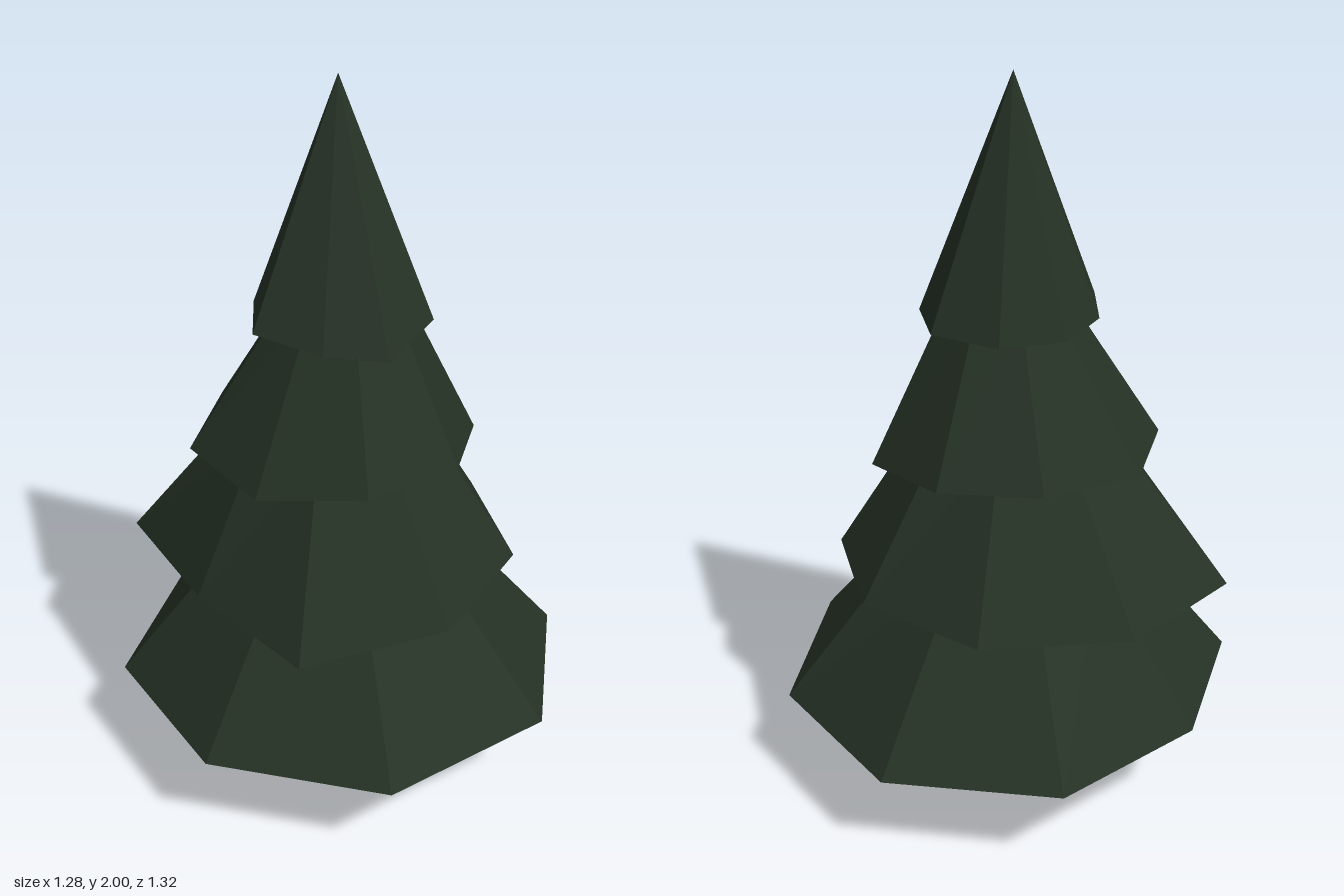
import * as THREE from 'three';

// Each tier: uneven eight-sided rim [x, y, z], running back -> +x -> front -> -x,
// then the height, radius and centre of its narrow top ring.
const TIERS = [
  {
    name: 'bottomBranches', topY: 0.7, topR: 0.285, cx: -0.01, cz: 0.005,
    rim: [[-0.01, 0.26, -0.66], [0.44, 0.25, -0.485], [0.64, 0.25, -0.03], [0.47, 0.26, 0.445],
      [-0.01, 0.27, 0.655], [-0.47, 0.268, 0.43], [-0.64, 0.265, -0.03], [-0.42, 0.265, -0.445]],
  },
  {
    name: 'lowerMiddleBranches', topY: 1.07, topR: 0.235, cx: -0.02, cz: -0.02,
    rim: [[-0.22, 0.635, -0.545], [0.185, 0.64, -0.51], [0.44, 0.635, -0.22], [0.455, 0.63, 0.158],
      [0.19, 0.625, 0.45], [-0.22, 0.587, 0.478], [-0.435, 0.615, 0.147], [-0.56, 0.605, -0.26]],
  },
  {
    name: 'upperMiddleBranches', topY: 1.42, topR: 0.148, cx: 0.01, cz: -0.015,
    rim: [[-0.01, 0.995, -0.4], [0.25, 0.985, -0.295], [0.38, 0.953, -0.03], [0.26, 0.99, 0.235],
      [-0.01, 1, 0.355], [-0.285, 0.965, 0.24], [-0.417, 0.98, -0.03], [-0.285, 0.985, -0.31]],
  },
  {
    name: 'topBranches', topY: 2, topR: 0, cx: -0.005, cz: -0.035,
    rim: [[-0.1, 1.355, -0.252], [0.077, 1.35, -0.256], [0.23, 1.355, -0.133], [0.228, 1.35, 0.067],
      [0.08, 1.305, 0.193], [-0.09, 1.33, 0.175], [-0.252, 1.36, 0.07], [-0.217, 1.36, -0.12]],
  },
];

// Faceted skirt: sloping sides, closed top and a shallow hollow underside
function tierGeometry({ rim, topY, topR, cx, cz }) {
  const ring = rim.map(([x, , z]) => {
    const a = Math.atan2(z - cz, x - cx);
    return [cx + topR * Math.cos(a), topY, cz + topR * Math.sin(a)];
  });
  const apex = [cx, topY, cz];
  const hollow = [cx, rim[0][1] + 0.11, cz];
  const points = [];
  rim.forEach((a, i) => {
    const j = (i + 1) % rim.length;
    const b = rim[j];
    points.push(a, ring[i], b);
    if (topR > 0) {
      points.push(b, ring[i], ring[j]);
      points.push(ring[i], apex, ring[j]);
    }
    points.push(a, b, hollow);
  });
  const geometry = new THREE.BufferGeometry();
  geometry.setAttribute('position', new THREE.Float32BufferAttribute(points.flat(), 3));
  geometry.computeVertexNormals();
  return geometry;
}

export function createModel() {
  const tree = new THREE.Group();
  tree.name = 'pineTree';

  const needles = new THREE.MeshStandardMaterial({ color: 0x263226, flatShading: true });
  needles.name = 'darkGreenNeedles';
  const bark = new THREE.MeshStandardMaterial({ color: 0x352829, flatShading: true });
  bark.name = 'darkBrownBark';

  // Tapered six-sided trunk
  const trunk = new THREE.Mesh(new THREE.CylinderGeometry(0.07, 0.088, 0.5, 6), bark);
  trunk.name = 'trunk';
  trunk.position.set(-0.012, 0.25, -0.025);
  trunk.rotation.y = Math.PI / 6;
  tree.add(trunk);

  // Stacked branch tiers
  for (const tier of TIERS) {
    const mesh = new THREE.Mesh(tierGeometry(tier), needles);
    mesh.name = tier.name;
    tree.add(mesh);
  }
  return tree;
}
